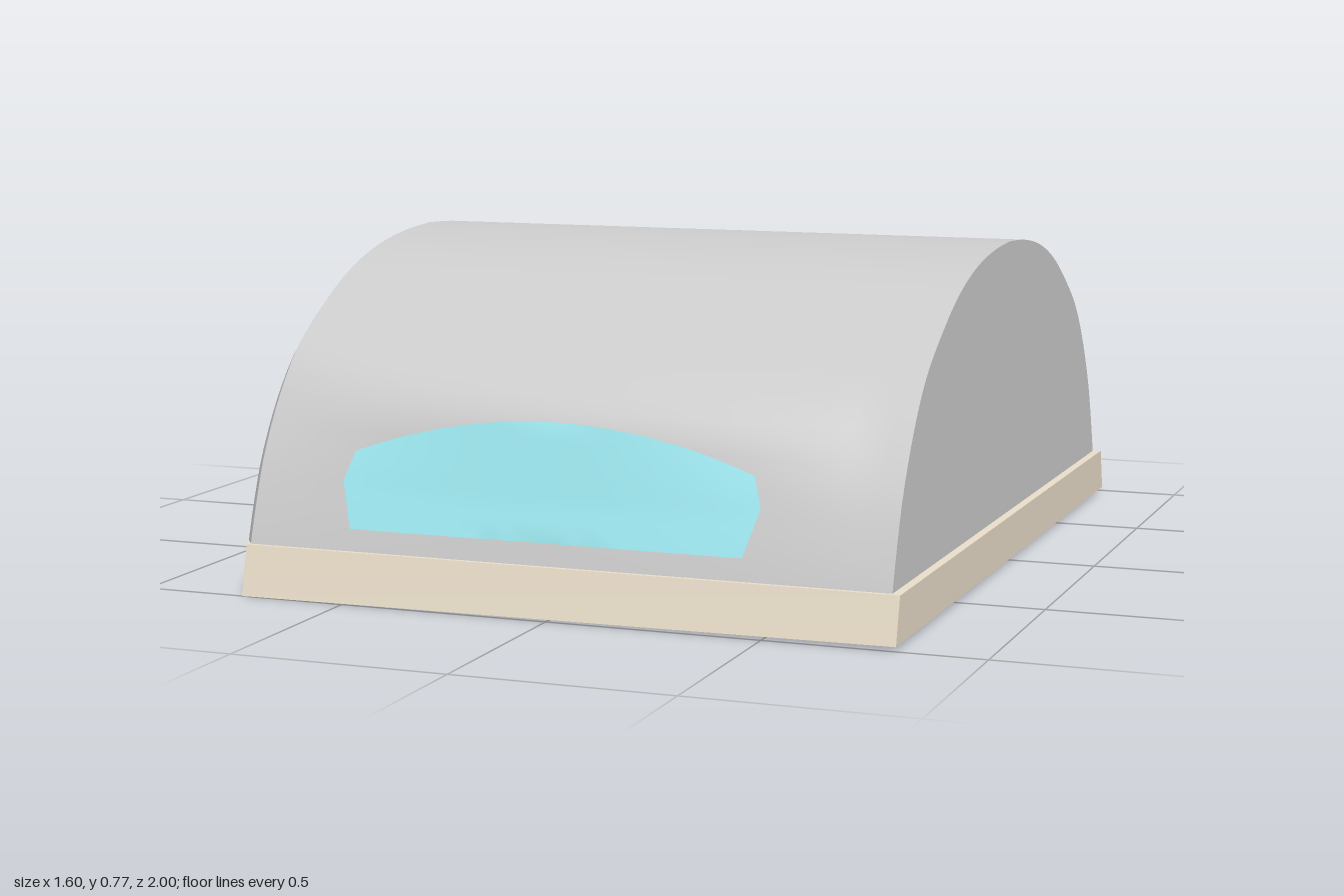
import * as THREE from 'three';
import { toCreasedNormals } from 'three/addons/utils/BufferGeometryUtils.js';

const N = 32; // samples per half arch
const material = (color) => new THREE.MeshStandardMaterial({ color, side: THREE.DoubleSide });
const grey = material(0xcccccc);
const cream = material(0xe8dcc8);
const aqua = material(0x9ee8f0);
const blueGrey = material(0xb4c8ce);

// Skin a list of equally long rings of [x, y, z] points
function loft(name, rings, mat, crease = 0.5) {
  const n = rings[0].length, index = [];
  for (let i = 0; i < rings.length - 1; i++) {
    for (let j = 0; j < n - 1; j++) {
      const a = i * n + j, d = a + n;
      index.push(a, a + 1, d + 1, a, d + 1, d);
    }
  }
  const geo = new THREE.BufferGeometry();
  geo.setAttribute('position', new THREE.Float32BufferAttribute(rings.flat(2), 3));
  geo.setIndex(index);
  geo.computeVertexNormals();
  const mesh = new THREE.Mesh(toCreasedNormals(geo, crease), mat);
  mesh.name = name;
  return mesh;
}

// Full arch from -z over the crown to +z, given half of it as [z, y] from base to crown
function arch(half) {
  const curve = new THREE.SplineCurve(half.map(([z, y]) => new THREE.Vector2(z, y)));
  const pts = curve.getSpacedPoints(N).map((p) => [p.x, p.y]);
  pts[N][0] = 0;
  return [...pts.map(([z, y]) => [-z, y]), ...pts.slice(0, -1).reverse()];
}
const ring = (profile, x, sz = 1, sy = 1) => profile.map(([z, y]) => [x, y * sy, z * sz]);
const base = (profile, x, y) => profile.map(([z]) => [x, y, z]);

const hull = arch([[0.985, 0.01], [0.962, 0.115], [0.92, 0.24], [0.88, 0.33], [0.81, 0.44],
  [0.72, 0.54], [0.6, 0.62], [0.46, 0.692], [0.31, 0.74], [0.15, 0.766], [0, 0.775]]);
const opening = arch([[0.755, 0.01], [0.745, 0.18], [0.715, 0.34], [0.62, 0.48], [0.45, 0.595],
  [0.25, 0.655], [0, 0.675]]);
const doorway = arch([[0.64, 0], [0.64, 0.14], [0.625, 0.27], [0.55, 0.39], [0.42, 0.465],
  [0.25, 0.515], [0, 0.54]]);

// Piecewise linear lookup of z by height, points ordered by rising y
function zAt(points, y) {
  for (let i = 1; i < points.length; i++) {
    const [z0, y0] = points[i - 1], [z1, y1] = points[i];
    if (y <= y1) return z0 + ((z1 - z0) * (y - y0)) / (y1 - y0);
  }
  return 0;
}
const hullSide = hull.slice(N).reverse();
const bulge = [[0.95, 0.165], [0.925, 0.25], [0.885, 0.42], [0.835, 0.48], [0.72, 0.54]];

// Half width of the shell, swelling around the side windows
function shellZ(x, y) {
  const z = zAt(hullSide, y);
  if (y < 0.165 || y > 0.54) return z;
  const weight = Math.max(0, 1 - ((x + 0.03) / 0.72) ** 2);
  return z + weight * Math.max(0, zAt(bulge, y) - z);
}

function sideWindow() {
  const rings = [];
  const offsets = [-0.5, -0.495, -0.48, -0.47];
  for (let i = -11; i <= 11; i++) offsets.push(i * 0.04);
  offsets.push(0.47, 0.48, 0.495, 0.5);
  for (const o of offsets) {
    const t = Math.abs(o), x = o - 0.03;
    const end = Math.max(0, (t - 0.47) / 0.03);
    let top = 0.425 - 0.09 * (t / 0.48) ** 2;
    if (t > 0.48) top = 0.335 - 0.06 * ((t - 0.48) / 0.02);
    const bottom = 0.165 + 0.1 * end;
    const column = [];
    for (let j = 0; j <= 12; j++) {
      const y = top + ((bottom - top) * j) / 12;
      column.push([x, y, shellZ(x, y) + 0.005]);
    }
    rings.push(column);
  }
  return loft('sideWindow', rings, aqua, 1);
}

// Sloped skirt that runs round the base and stops at the doorway
function baseTrim() {
  const half = [[-0.8, 0.69], [-0.8, 0.9], [-0.755, 1], [0.8, 1]];
  const path = [...half, ...half.slice().reverse().map(([x, z]) => [x, -z])];
  const rings = path.map(([x, z]) => {
    const y0 = x < -0.7 ? 0 : 0.01, xi = x - Math.sign(x) * 0.022;
    const section = [[x, y0, z], [x, 0.115, z * 0.973], [xi, 0.115, z * 0.955], [xi, y0, z * 0.97]];
    return [...section, section[0]];
  });
  const trim = new THREE.Group();
  trim.name = 'baseTrim';
  trim.add(loft('trimBand', rings, cream, 0.3));
  for (const r of [rings[0], rings[rings.length - 1]]) {
    trim.add(loft('trimEnd', [[r[0], r[1]], [r[3], r[2]]], cream));
  }
  return trim;
}

export function createModel() {
  const model = new THREE.Group();
  model.name = 'shelter';

  // Vaulted shell with swollen sides
  const shellRings = [];
  for (let i = 0; i <= 34; i++) {
    const x = -0.75 + (1.53 * i) / 34;
    shellRings.push(hull.map(([z, y]) => [x, y, Math.sign(z) * (y < 0.55 ? shellZ(x, y) : Math.abs(z))]));
  }
  model.add(loft('shell', shellRings, grey, 1));
  model.add(loft('endWall', [ring(hull, 0.78), base(hull, 0.78, 0.01)], grey));

  // Bevelled rim, groove and frame around the doorway
  model.add(loft('doorRim', [
    ring(opening, -0.765), ring(opening, -0.792),
    ring(hull, -0.79, 0.915, 0.9), ring(hull, -0.775, 0.965, 0.955), ring(hull, -0.75),
  ], grey, 0.6));
  model.add(loft('doorFrame', [
    ring(doorway, -0.745), ring(doorway, -0.78),
    ring(opening, -0.78, 0.97, 0.97), ring(opening, -0.765, 0.97, 0.97), ring(opening, -0.765),
  ], grey));
  model.add(loft('doorPanel', [base(doorway, -0.75, 0), ring(doorway, -0.75)], blueGrey));

  const latch = new THREE.Mesh(new THREE.BoxGeometry(0.012, 0.02, 0.04), grey);
  latch.name = 'latch';
  latch.position.set(-0.755, 0.025, 0);
  model.add(latch);

  // Floor
  const floor = new THREE.Mesh(new THREE.BoxGeometry(1.53, 0.02, 1.94), grey);
  floor.name = 'floor';
  floor.position.set(0.015, 0.02, 0);
  model.add(floor);
  const step = new THREE.Mesh(new THREE.BoxGeometry(0.04, 0.015, 1.28), grey);
  step.name = 'doorstep';
  step.position.set(-0.73, 0.0075, 0);
  model.add(step);

  model.add(baseTrim());

  // Windows on both sides and at both corners of the door end
  const cornerShape = new THREE.Shape([[0.765, 0.13], [0.865, 0.13], [0.845, 0.22], [0.8, 0.29], [0.75, 0.315]]
    .map(([z, y]) => new THREE.Vector2(z, y)));
  for (const side of [1, -1]) {
    const pair = new THREE.Group();
    pair.name = side > 0 ? 'frontWindows' : 'backWindows';
    const corner = new THREE.Mesh(new THREE.ShapeGeometry(cornerShape), aqua);
    corner.name = 'cornerWindow';
    corner.rotation.y = -Math.PI / 2;
    corner.position.x = -0.797;
    pair.add(sideWindow(), corner);
    pair.scale.z = side;
    model.add(pair);
  }
  return model;
}
